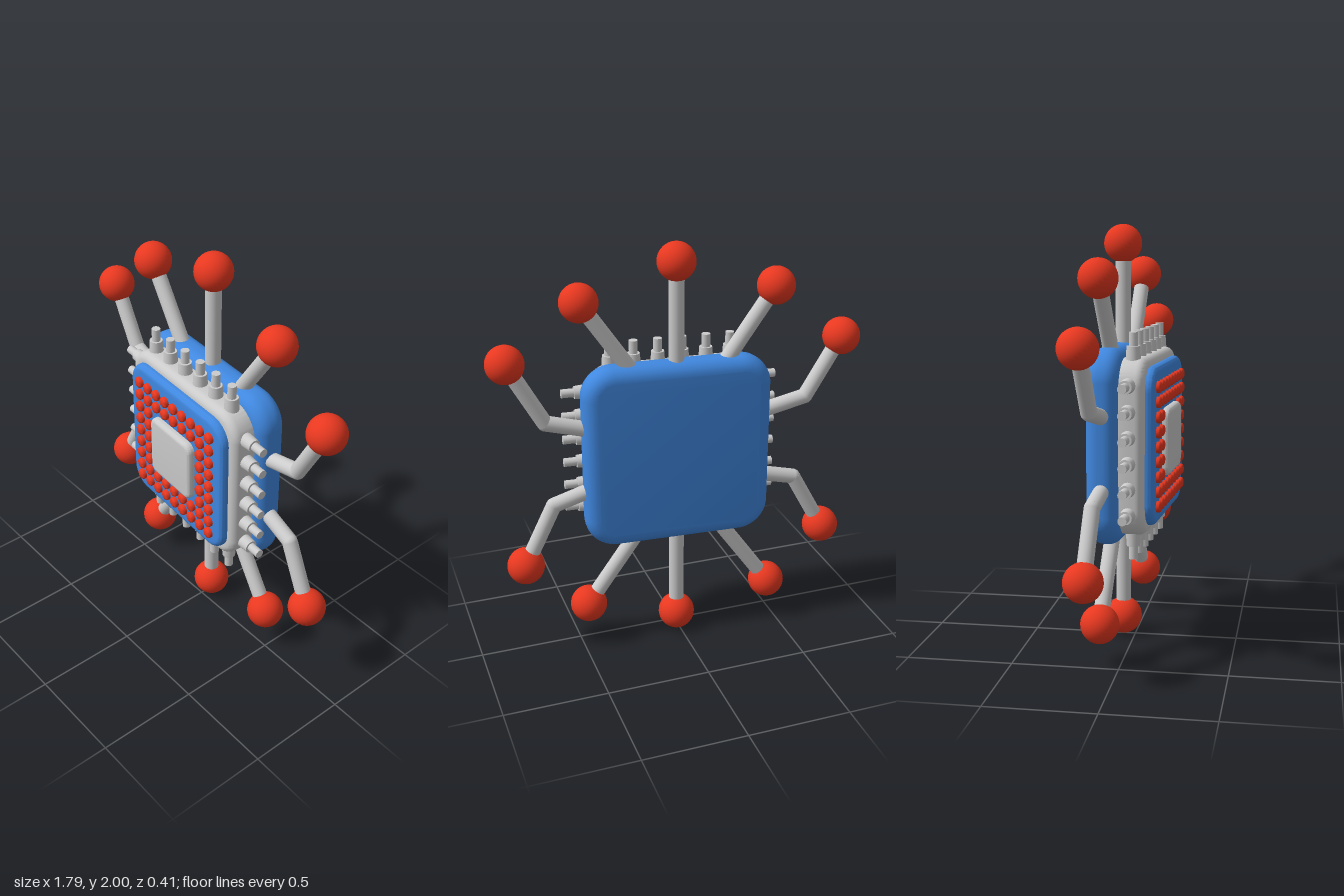
import * as THREE from 'three';
import { toCreasedNormals } from 'three/addons/utils/BufferGeometryUtils.js';

const grey = new THREE.MeshStandardMaterial({ color: 0xcccccc });
const blue = new THREE.MeshStandardMaterial({ color: 0x4088e0 });
const red = new THREE.MeshStandardMaterial({ color: 0xe83820 });

function add(parent, name, geometry, material, x = 0, y = 0, z = 0) {
  const mesh = new THREE.Mesh(geometry, material);
  mesh.name = name;
  mesh.position.set(x, y, z);
  parent.add(mesh);
  return mesh;
}

// Square plate with rounded corners and rounded rims, spanning z0 to z1
function plate(half, radius, bevel, z0, z1) {
  const h = half - bevel, r = radius - bevel, k = h - r;
  const shape = new THREE.Shape();
  shape.absarc(k, k, r, 0, Math.PI / 2);
  shape.absarc(-k, k, r, Math.PI / 2, Math.PI);
  shape.absarc(-k, -k, r, Math.PI, Math.PI * 1.5);
  shape.absarc(k, -k, r, Math.PI * 1.5, Math.PI * 2);
  const geometry = new THREE.ExtrudeGeometry(shape, {
    depth: z1 - z0 - 2 * bevel, curveSegments: 10,
    bevelThickness: bevel, bevelSize: bevel, bevelSegments: 6,
  });
  geometry.translate(0, 0, z0 + bevel);
  return toCreasedNormals(geometry, 0.7);
}

// Round rod between two points
function rod(parent, a, b, radius) {
  const dir = b.clone().sub(a);
  const mesh = add(parent, 'legRod', new THREE.CylinderGeometry(radius, radius, dir.length(), 20), grey);
  mesh.position.copy(a).add(b).multiplyScalar(0.5);
  mesh.quaternion.setFromUnitVectors(new THREE.Vector3(0, 1, 0), dir.normalize());
}

export function createModel() {
  const model = new THREE.Group();
  model.name = 'chip';
  const body = new THREE.Group();
  body.name = 'chipBody';
  body.position.set(0.006, 0.993, 0);
  body.rotation.y = -0.066;
  model.add(body);

  // Stacked plates
  add(body, 'backPlate', plate(0.456, 0.15, 0.065, -0.14, 0.015), blue);
  add(body, 'middlePlate', plate(0.41, 0.13, 0.04, -0.035, 0.125), grey);
  add(body, 'frontPlate', plate(0.368, 0.11, 0.028, 0.06, 0.163), blue);
  add(body, 'core', plate(0.16, 0.045, 0.02, 0.12, 0.197), grey);

  // Two rings of contact studs around the core
  const studProfile = [[0.027, 0], [0.027, 0.02], [0.024, 0.026], [0.016, 0.03], [0, 0.031]]
    .map(([x, y]) => new THREE.Vector2(x, y));
  const stud = toCreasedNormals(new THREE.LatheGeometry(studProfile, 16).rotateX(Math.PI / 2), 0.9);
  const studs = new THREE.Group();
  studs.name = 'contactStuds';
  body.add(studs);
  for (let i = 0; i < 9; i++) {
    for (let j = 0; j < 9; j++) {
      if (Math.min(i, j, 8 - i, 8 - j) < 2) {
        add(studs, 'contactStud', stud, red, (i - 4) * 0.0695, (j - 4) * 0.0695, 0.155);
      }
    }
  }

  // Six stepped pins on each of the four sides
  const pinBase = new THREE.CylinderGeometry(0.031, 0.037, 0.085, 20);
  const pinTip = new THREE.CylinderGeometry(0.021, 0.021, 0.09, 16);
  for (let side = 0; side < 4; side++) {
    const row = new THREE.Group();
    row.name = 'pinRow';
    row.rotation.z = side * Math.PI / 2;
    body.add(row);
    for (let i = 0; i < 6; i++) {
      const x = (i - 2.5) * 0.118;
      add(row, 'pinBase', pinBase, grey, x, 0.422, 0.056);
      add(row, 'pinTip', pinTip, grey, x, 0.482, 0.056);
    }
  }

  // Ball-ended legs: points run from inside the back plate out to the ball
  const legs = [
    [[0, 0.36], [0, 0.92]],
    [[0, -0.36], [0, -0.903]],
    [[-0.2, 0.37], [-0.478, 0.772]],
    [[0.18, 0.37], [0.45, 0.764]],
    [[-0.2, -0.4], [-0.478, -0.793]],
    [[0.18, -0.4], [0.45, -0.786]],
    [[-0.36, 0.138], [-0.645, 0.205], [-0.817, 0.497]],
    [[0.36, 0.135], [0.625, 0.205], [0.792, 0.507]],
    [[-0.36, -0.165], [-0.602, -0.222], [-0.762, -0.513]],
    [[0.36, -0.142], [0.602, -0.22], [0.75, -0.525]],
  ];
  const ball = new THREE.SphereGeometry(0.09, 32, 20);
  const elbow = new THREE.SphereGeometry(0.037, 20, 14);
  for (const path of legs) {
    const leg = new THREE.Group();
    leg.name = 'leg';
    leg.position.z = -0.06;
    body.add(leg);
    const points = path.map(([x, y]) => new THREE.Vector3(x, y, 0));
    for (let i = 1; i < points.length; i++) rod(leg, points[i - 1], points[i], 0.037);
    if (path.length > 2) add(leg, 'legElbow', elbow, grey, ...path[1]);
    add(leg, 'legBall', ball, red, ...path[path.length - 1]);
  }
  return model;
}
